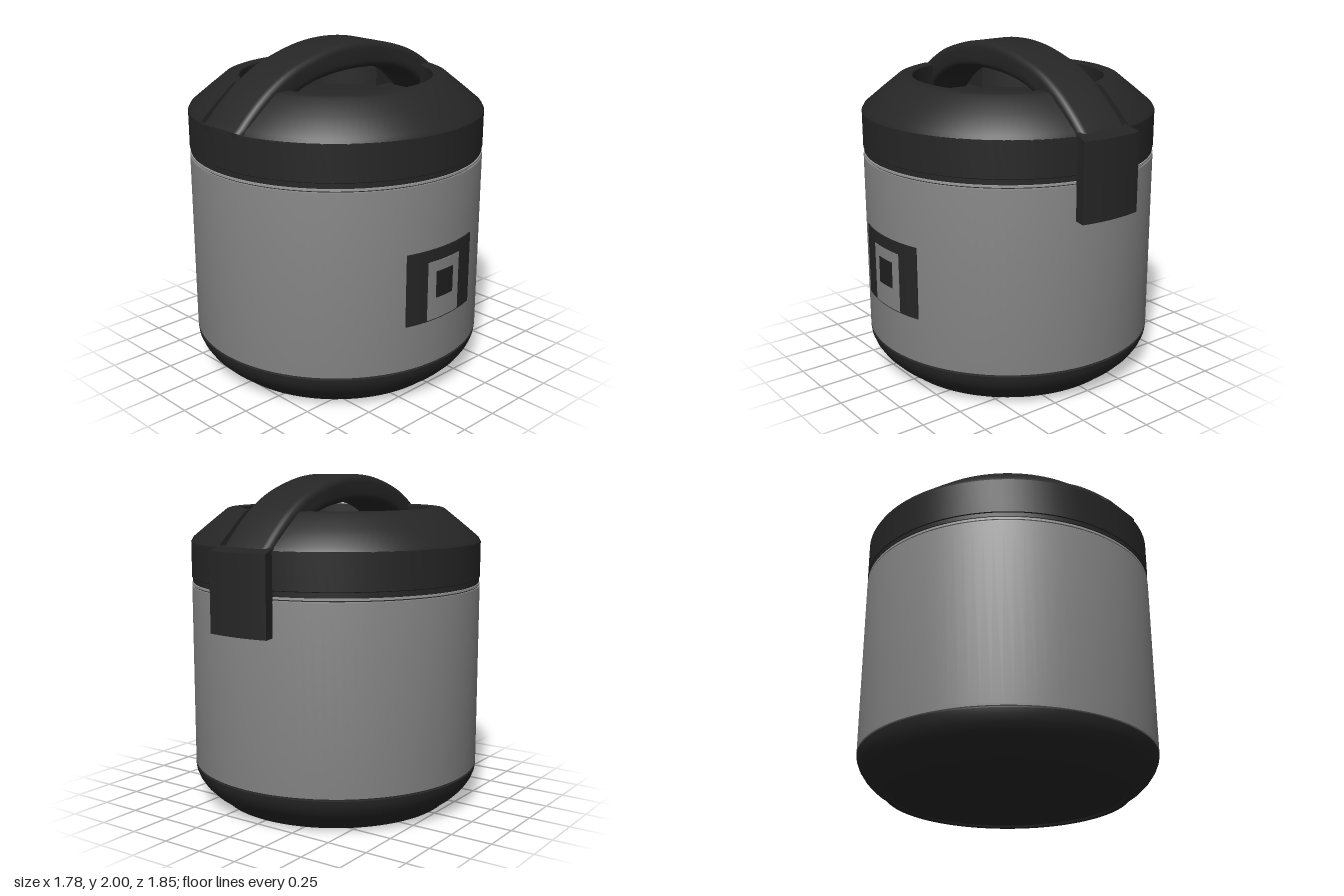
import * as THREE from 'three';
import { toCreasedNormals } from 'three/addons/utils/BufferGeometryUtils.js';

const SEG = 96;
const SLOT = 0.19; // half width of the handle channel in the lid

export function createModel() {
  const material = (name, color) => {
    const m = new THREE.MeshStandardMaterial({ color });
    m.name = name;
    return m;
  };
  const black = material('blackPlastic', 0x262626);
  const steel = material('brushedSteel', 0x858585);
  const rimSteel = material('rimSteel', 0x9a9a9a);
  const glass = material('buttonBlack', 0x202020);

  const model = new THREE.Group();
  const cooker = new THREE.Group();
  cooker.name = 'cooker';
  cooker.position.z = 0.04;
  model.add(cooker);

  const add = (name, geometry, mat, parent = cooker) => {
    const mesh = new THREE.Mesh(geometry, mat);
    mesh.name = name;
    parent.add(mesh);
    return mesh;
  };
  const lathe = (pts) => toCreasedNormals(
    new THREE.LatheGeometry(pts.map(([r, y]) => new THREE.Vector2(r, y)), SEG), 0.5);

  // Upright plate curved round the pot axis, centred on +x
  const arcPlate = (r0, r1, half, y0, y1, shift = 0) => {
    const s = new THREE.Shape();
    s.absarc(0, 0, r1, shift - half, shift + half, false);
    s.absarc(0, 0, r0, shift + half, shift - half, true);
    const g = new THREE.ExtrudeGeometry(s, { depth: y1 - y0, bevelEnabled: false, curveSegments: 20 });
    g.rotateX(-Math.PI / 2);
    g.translate(0, y0, 0);
    return toCreasedNormals(g, 0.5);
  };

  // Pot
  add('base', lathe([[0, 0.012], [0.68, 0.012], [0.685, 0], [0.715, 0], [0.735, 0.022], [0.79, 0.06],
    [0.835, 0.105], [0.865, 0.15], [0.881, 0.19], [0.885, 0.218], [0.872, 0.222]]), black);
  add('lowerSeam', lathe([[0.874, 0.215], [0.874, 0.232]]), black);
  add('body', lathe([[0.87, 0.227], [0.884, 0.23], [0.885, 0.24], [0.885, 1.325], [0.884, 1.332],
    [0.872, 1.334]]), steel);
  add('upperSeam', lathe([[0.876, 1.33], [0.876, 1.37]]), black);
  add('rim', lathe([[0.872, 1.339], [0.883, 1.34], [0.883, 1.352], [0.872, 1.353]]), rimSteel);

  // Lid: lower drum whose top is the floor of the recess
  add('lidDrum', lathe([[0.868, 1.358], [0.88, 1.36], [0.88, 1.384], [0.885, 1.388], [0.885, 1.602],
    [0.87, 1.605], [0, 1.605]]), black);

  // Lid: raised collar in two halves, leaving a channel for the handle
  const profile = [[0.575, 1.6], [0.575, 1.795], [0.58, 1.802], [0.645, 1.802], [0.665, 1.795],
    [0.77, 1.71], [0.872, 1.625], [0.885, 1.6]];
  const collar = new THREE.PlaneGeometry(1, 1, 48, profile.length - 1);
  const pos = collar.attributes.position;
  for (let i = 0; i < pos.count; i++) {
    const [r, y] = profile[Math.floor(i / 49)];
    const gap = Math.asin(SLOT / r);
    const a = gap + (Math.PI - 2 * gap) * (i % 49) / 48;
    pos.setXYZ(i, r * Math.sin(a), y, r * Math.cos(a));
  }
  const collarGeo = toCreasedNormals(collar, 0.5);
  const slotWall = (sign) => {
    const g = new THREE.ShapeGeometry(new THREE.Shape(profile.map(([r, y]) =>
      new THREE.Vector2(sign * Math.sqrt(r * r - SLOT * SLOT), y))));
    g.rotateY(-Math.PI / 2);
    g.translate(SLOT, 0, 0);
    return g;
  };
  for (const side of ['left', 'right']) {
    const half = new THREE.Group();
    half.name = side + 'LidCollar';
    add('collar', collarGeo, black, half);
    add('frontSlotWall', slotWall(1), black, half);
    add('backSlotWall', slotWall(-1), black, half);
    if (side === 'right') half.rotation.y = Math.PI;
    cooker.add(half);
  }

  // Arched carrying handle
  const mirrored = (pts) => new THREE.CatmullRomCurve3(
    [...pts.slice(1).reverse().map(([w, y]) => [-w, y]), ...pts]
      .map(([w, y]) => new THREE.Vector3(w, y, 0))).getPoints(48)
    .map((p) => new THREE.Vector2(p.x, p.y));
  const outer = mirrored([[0, 2], [0.17, 1.988], [0.34, 1.95], [0.5, 1.895], [0.65, 1.81], [0.77, 1.715], [0.88, 1.61]]);
  const inner = mirrored([[0, 1.84], [0.18, 1.83], [0.36, 1.795], [0.52, 1.72], [0.66, 1.6], [0.72, 1.53]]);
  const handleShape = new THREE.Shape([...outer, new THREE.Vector2(0.87, 1.5),
    ...inner.reverse(), new THREE.Vector2(-0.87, 1.5)]);
  const bevel = 0.04;
  const handle = new THREE.ExtrudeGeometry(handleShape, { depth: 0.33 - 2 * bevel, bevelEnabled: true,
    bevelSize: bevel, bevelThickness: bevel, bevelOffset: -bevel, bevelSegments: 5 });
  handle.translate(0, 0, bevel - 0.165);
  handle.rotateY(-Math.PI / 2);
  add('handle', toCreasedNormals(handle, 0.6), black);

  // Hinge cover at the back, its top edge sloping outward
  const hinge = arcPlate(0.865, 0.962, 0.209, 1.125, 1.61);
  const hp = hinge.attributes.position;
  for (let i = 0; i < hp.count; i++) {
    const r = Math.hypot(hp.getX(i), hp.getZ(i));
    if (hp.getY(i) > 1.5) hp.setY(i, r > 0.9 ? 1.59 : 1.617);
  }
  add('hingeCover', hinge, black).rotation.y = Math.PI / 2;

  // Control panel on the left side
  add('controlPanel', arcPlate(0.87, 0.892, 0.308, 0.505, 0.94), black);
  add('controlPlate', arcPlate(0.889, 0.895, 0.146, 0.512, 0.868), steel);
  add('controlButton', arcPlate(0.892, 0.898, 0.078, 0.642, 0.803), glass);

  return model;
}
